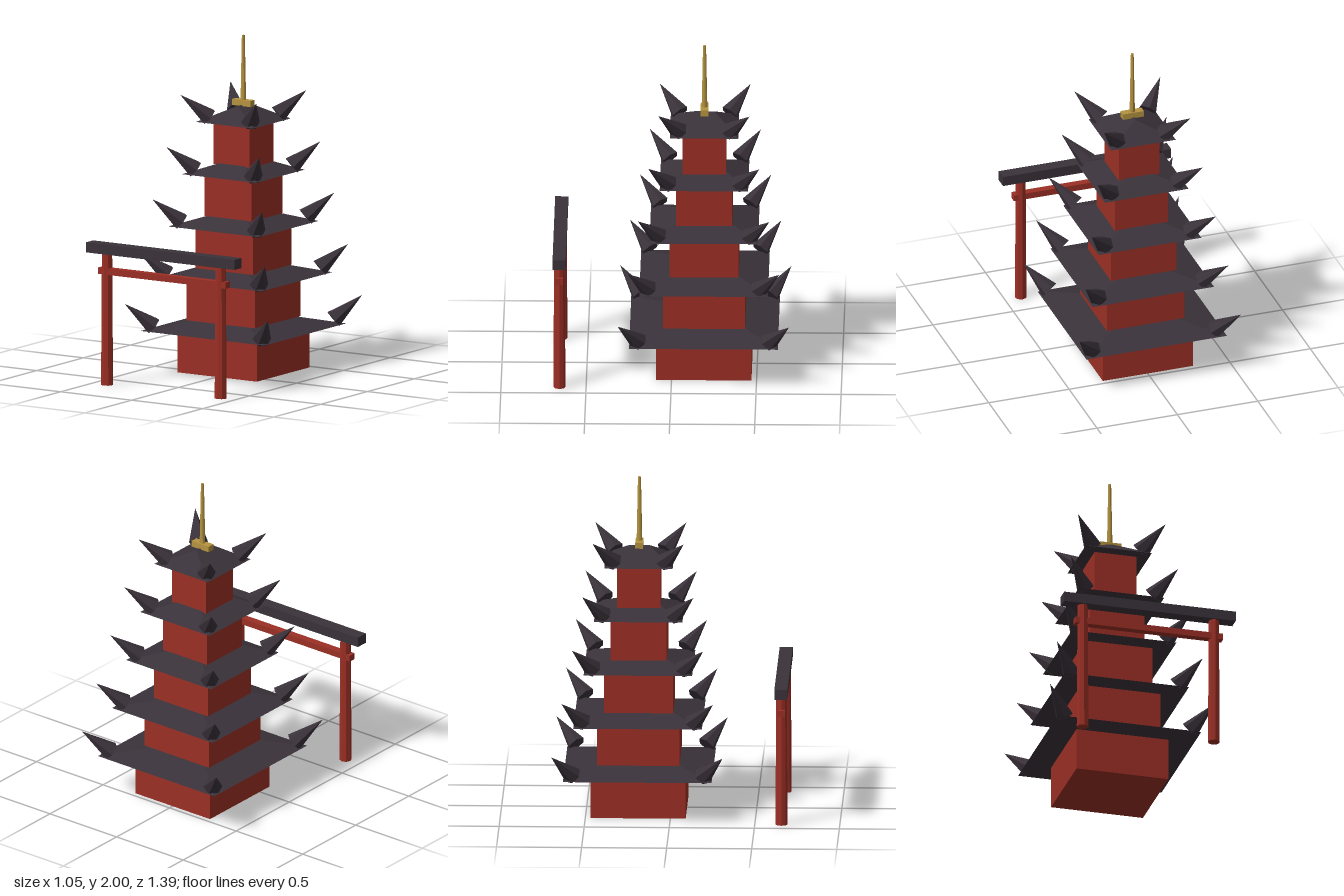
import * as THREE from 'three';

const mat = (name, color) => {
  const m = new THREE.MeshStandardMaterial({ color, flatShading: true });
  m.name = name;
  return m;
};

// Hipped roof: square eaves of half width h, short ridge of half length r along z
function hipRoof(h, r, height) {
  const A = [-h, 0, h], B = [h, 0, h], C = [h, 0, -h], D = [-h, 0, -h];
  const F = [0, height, r], K = [0, height, -r];
  const faces = [
    A, B, F,  C, D, K,            // front and back slopes
    B, C, K,  B, K, F,            // +x slope
    D, A, F,  D, F, K,            // -x slope
    A, D, C,  A, C, B,            // underside
  ];
  const g = new THREE.BufferGeometry();
  g.setAttribute('position', new THREE.Float32BufferAttribute(faces.flat(), 3));
  g.computeVertexNormals();
  return g;
}

export function createModel() {
  const red = mat('red lacquer', 0x9b2f25);
  const dark = mat('dark roof tile', 0x3a323a);
  const gold = mat('gold', 0xb5933f);

  const model = new THREE.Group();
  model.name = 'pagodaWithGate';

  const add = (parent, name, geometry, material, x = 0, y = 0, z = 0) => {
    const mesh = new THREE.Mesh(geometry, material);
    mesh.name = name;
    mesh.position.set(x, y, z);
    parent.add(mesh);
    return mesh;
  };

  // Pagoda: five shrinking storeys, each with a roof and four upturned corners
  const pagoda = new THREE.Group();
  pagoda.name = 'pagoda';
  pagoda.position.z = -0.19;
  model.add(pagoda);

  const pitch = 0.309, wallHeight = 0.255, roofHeight = 0.095;
  const hornLength = 0.22, hornAngle = 0.675;
  const hornGeometry = new THREE.ConeGeometry(0.056, hornLength, 6);
  hornGeometry.translate(0, hornLength / 2, 0);
  hornGeometry.rotateZ(hornAngle - Math.PI / 2);

  for (let i = 0; i < 5; i++) {
    const tier = new THREE.Group();
    tier.name = 'tier' + (i + 1);
    tier.position.y = i * pitch;
    pagoda.add(tier);

    const wall = 0.56 - i * 0.0765;
    const eave = 0.437 - i * 0.059;
    add(tier, 'walls', new THREE.BoxGeometry(wall, wallHeight, wall), red, 0, wallHeight / 2);
    add(tier, 'roof', hipRoof(eave, 0.058, roofHeight), dark, 0, wallHeight);

    for (const sx of [-1, 1]) for (const sz of [-1, 1]) {
      const c = eave - 0.055;
      const horn = add(tier, 'roofCorner', hornGeometry, dark, sx * c, wallHeight + 0.028, sz * c);
      horn.rotation.y = Math.atan2(-sz, sx);
    }
  }

  // Finial
  add(pagoda, 'finialBase', new THREE.BoxGeometry(0.13, 0.036, 0.046), gold, 0, 1.597);
  add(pagoda, 'spire', new THREE.CylinderGeometry(0.009, 0.017, 0.4, 8), gold, 0, 1.8);

  // Gate in front
  const gate = new THREE.Group();
  gate.name = 'gate';
  gate.position.z = 0.657;
  model.add(gate);
  for (const s of [-1, 1]) {
    add(gate, 'gatePost', new THREE.CylinderGeometry(0.031, 0.036, 0.785, 8), red, s * 0.4, 0.3925);
  }
  add(gate, 'gateTieBeam', new THREE.BoxGeometry(0.9, 0.038, 0.046), red, 0, 0.68);
  add(gate, 'gateTopBeam', new THREE.BoxGeometry(1.046, 0.06, 0.077), dark, 0, 0.814);

  return model;
}
